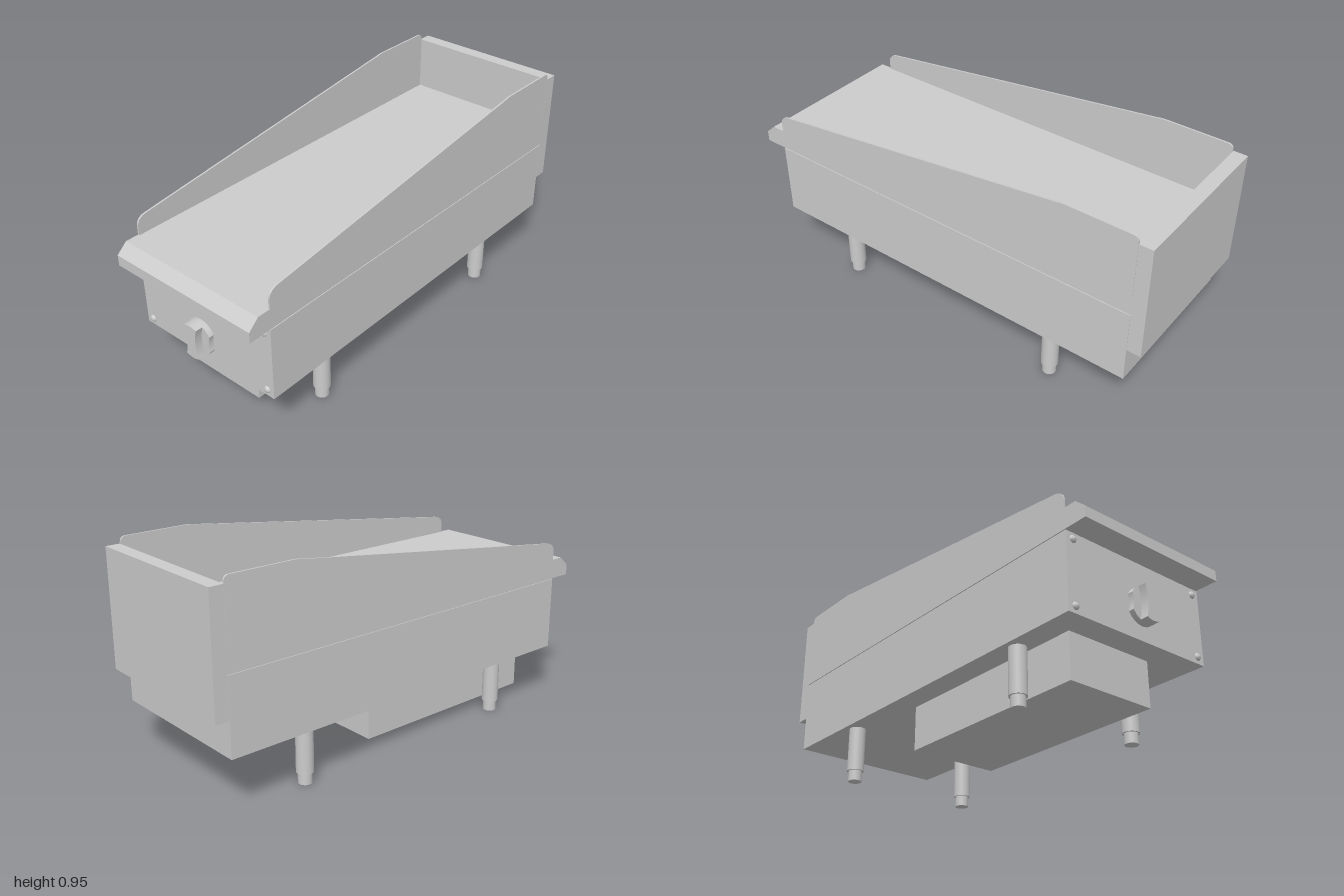
import * as THREE from 'three';

export function createModel() {
  const root = new THREE.Group();
  root.name = 'countertopGriddle';
  const mat = new THREE.MeshStandardMaterial({ color: 0xcccccc });

  const add = (name, geo, parent = root) => {
    const mesh = new THREE.Mesh(geo, mat);
    mesh.name = name;
    parent.add(mesh);
    return mesh;
  };
  // Box given by its limits on each axis
  const box = (name, [x0, x1], [y0, y1], [z0, z1]) =>
    add(name, new THREE.BoxGeometry(x1 - x0, y1 - y0, z1 - z0))
      .position.set((x0 + x1) / 2, (y0 + y1) / 2, (z0 + z1) / 2);
  // Extrude a (z, y) side profile across x, centred on x = 0
  const acrossX = (shape, width) =>
    new THREE.ExtrudeGeometry(shape, { depth: width, bevelEnabled: false, curveSegments: 8 })
      .rotateY(-Math.PI / 2).translate(width / 2, 0, 0);

  const W = 0.367, wall = 0.008, plateY = 0.678;

  // Cabinet, with a fine seam below the plate
  box('cabinet', [-W, W], [0.248, 0.583], [-0.937, 0.897]);
  box('seam', [-W + 0.004, W - 0.004], [0.58, 0.59], [-0.935, 0.893]);
  box('rearHousing', [-W, W], [0.405, 0.925], [-1, -0.938]);
  box('dripTray', [-0.26, 0.16], [0.05, 0.25], [-0.166, 0.786]);

  // Cooking plate with chamfered front lip
  const plate = new THREE.Shape([[1, 0.587], [1, 0.635], [0.952, plateY], [-0.939, plateY], [-0.939, 0.587]]
    .map(p => new THREE.Vector2(...p)));
  add('cookingPlate', acrossX(plate, 2 * W));

  // Sloping splash guards
  const guard = new THREE.Shape();
  guard.moveTo(0.892, plateY);
  guard.lineTo(0.892, 0.715);
  guard.quadraticCurveTo(0.892, 0.757, 0.845, 0.763);
  guard.lineTo(-0.59, 0.95);
  guard.quadraticCurveTo(-0.61, 0.955, -0.64, 0.955);
  guard.lineTo(-0.912, 0.955);
  guard.quadraticCurveTo(-0.937, 0.955, -0.937, 0.928);
  guard.lineTo(-0.937, plateY);
  for (const s of [-1, 1]) {
    add(s > 0 ? 'leftSplashGuard' : 'rightSplashGuard', acrossX(guard, wall)).position.x = s * (W - wall / 2);
  }

  // Legs with narrower adjustable feet
  for (const x of [-0.308, 0.298]) for (const z of [0.556, -0.552]) {
    const leg = new THREE.Group();
    leg.name = z > 0 ? 'frontLeg' : 'rearLeg';
    leg.position.set(x, 0, z);
    root.add(leg);
    add('legTube', new THREE.CylinderGeometry(0.037, 0.037, 0.202, 32), leg).position.y = 0.149;
    add('foot', new THREE.CylinderGeometry(0.03, 0.03, 0.05, 32), leg).position.y = 0.025;
  }

  // Domed panel screws with a cross of two slots
  const dome = new THREE.LatheGeometry([[0.0001, 0.011], [0.008, 0.009], [0.013, 0.006], [0.016, 0.001], [0.016, -0.002]]
    .reverse().map(p => new THREE.Vector2(...p)), 20).rotateX(Math.PI / 2);
  for (const x of [-0.332, 0.332]) for (const y of [0.278, 0.555]) {
    add('panelScrew', dome).position.set(x, y, 0.897);
  }

  // Control knob: shaft, dial with scooped sides, waisted grip
  const knob = new THREE.Group();
  knob.name = 'controlKnob';
  knob.position.set(-0.002, 0.376, 0);
  root.add(knob);
  const R = 0.078;
  // Round outline cut at the sides by inward curves
  const scooped = (edge, waist) => {
    const a = Math.acos(edge / R), y = R * Math.sin(a), s = new THREE.Shape();
    s.moveTo(edge, y);
    s.absarc(0, 0, R, a, Math.PI - a, false);
    s.quadraticCurveTo(-2 * waist + edge, 0, -edge, -y);
    s.absarc(0, 0, R, Math.PI + a, 2 * Math.PI - a, false);
    s.quadraticCurveTo(2 * waist - edge, 0, edge, y);
    return s;
  };
  const slab = (shape, z0, z1) =>
    new THREE.ExtrudeGeometry(shape, { depth: z1 - z0, bevelEnabled: false, curveSegments: 16 }).translate(0, 0, z0);
  add('knobShaft', new THREE.CylinderGeometry(0.038, 0.038, 0.03, 32).rotateX(Math.PI / 2), knob).position.z = 0.907;
  add('knobDial', slab(scooped(0.069, 0.064), 0.914, 0.938), knob);
  add('knobGrip', slab(scooped(0.034, 0.024), 0.936, 0.972), knob);

  return root;
}
